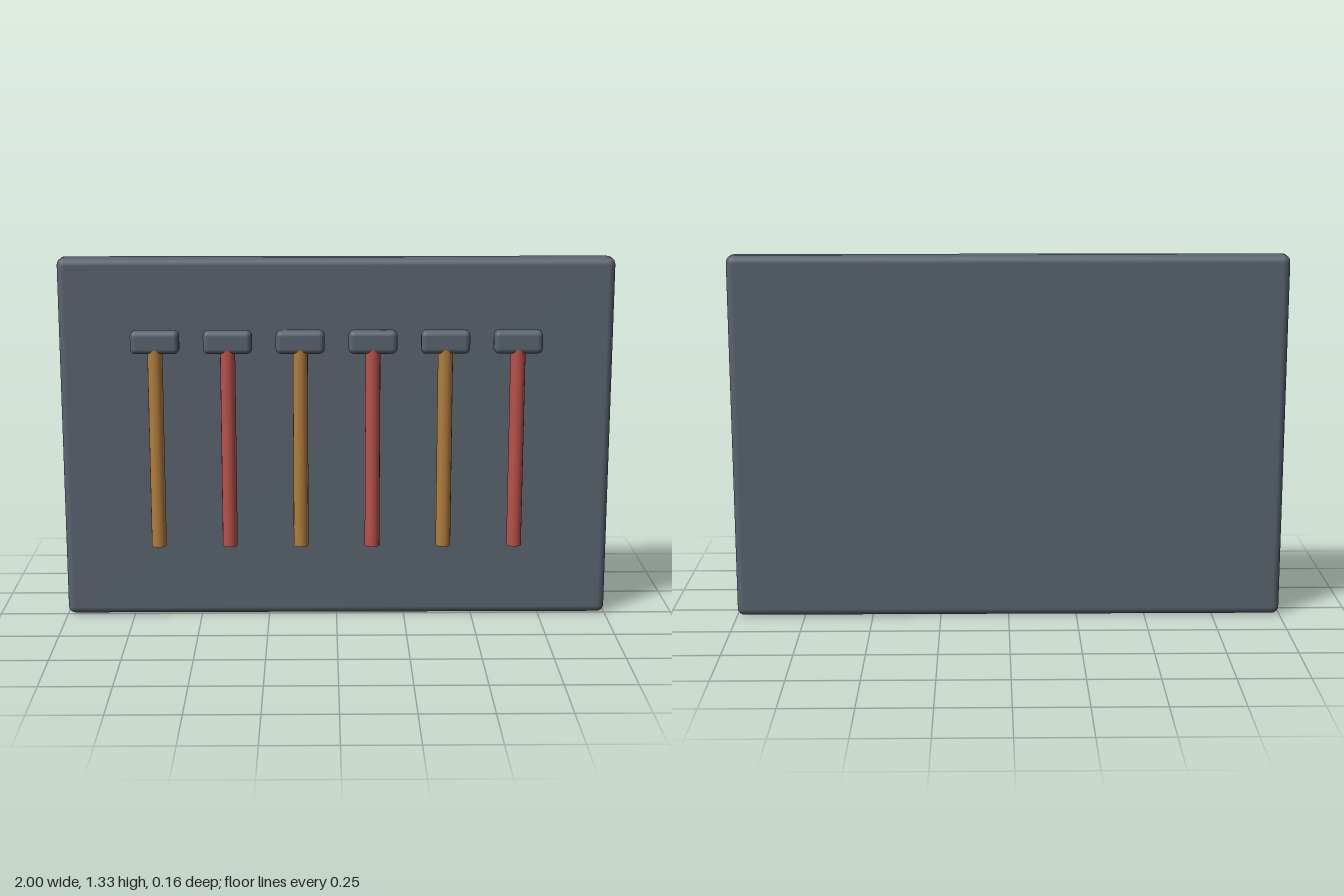
import * as THREE from 'three';
import { RoundedBoxGeometry } from 'three/addons/geometries/RoundedBoxGeometry.js';

function material(name, color) {
  const m = new THREE.MeshStandardMaterial({ color });
  m.name = name;
  return m;
}

export function createModel() {
  const slate = material('slate', 0x59636e);
  const wood = material('wood', 0xb07d3d);
  const red = material('red', 0xb9514a);
  const model = new THREE.Group();
  model.name = 'hammerRack';

  const add = (parent, name, geometry, mat, x, y, z) => {
    const mesh = new THREE.Mesh(geometry, mat);
    mesh.name = name;
    mesh.position.set(x, y, z);
    parent.add(mesh);
  };

  // Backing board with softened edges
  add(model, 'board', new RoundedBoxGeometry(2, 1.33, 0.088, 3, 0.027), slate, 0, 0.665, -0.036);

  // Row of six hammers with alternating handle colours
  const headGeometry = new RoundedBoxGeometry(0.175, 0.085, 0.054, 3, 0.02);
  const handleGeometry = new THREE.CylinderGeometry(0.027, 0.027, 0.73, 16);
  for (let i = 0; i < 6; i++) {
    const hammer = new THREE.Group();
    hammer.name = `hammer${i + 1}`;
    hammer.position.set((i - 2.5) * 0.26, 0, 0.053);
    add(hammer, 'head', headGeometry, slate, 0, 1.036, 0);
    add(hammer, 'handle', handleGeometry, i % 2 ? red : wood, 0, 0.645, 0);
    model.add(hammer);
  }
  return model;
}
